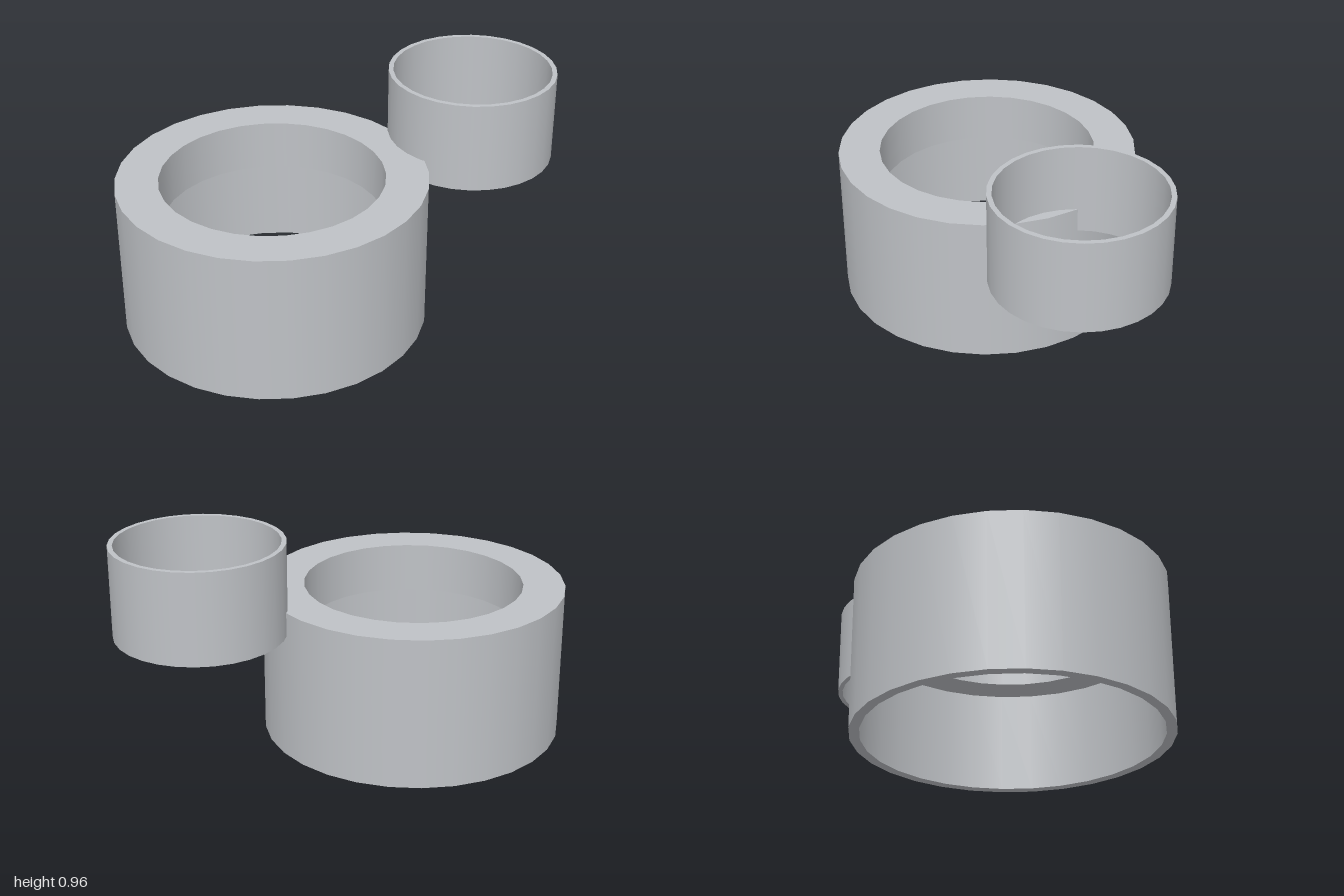
import * as THREE from 'three';
import { mergeGeometries } from 'three/addons/utils/BufferGeometryUtils.js';

const SIDES = 30;

// Turns a closed [radius, y] profile (counter-clockwise) into a solid ring.
// Each profile edge is its own band, so walls are smooth and rims stay sharp.
function ringGeometry(profile) {
  const bands = profile.map((p, i) => {
    const q = profile[(i + 1) % profile.length];
    const edge = [new THREE.Vector2(...p), new THREE.Vector2(...q)];
    return new THREE.LatheGeometry(edge, SIDES, Math.PI / 2);
  });
  return mergeGeometries(bands);
}

export function createModel() {
  const group = new THREE.Group();
  const grey = new THREE.MeshStandardMaterial({ color: 0xbfc2c6 });
  grey.name = 'light grey';

  const addRing = (name, x, profile) => {
    const mesh = new THREE.Mesh(ringGeometry(profile), grey);
    mesh.name = name;
    mesh.position.x = x;
    group.add(mesh);
  };

  // Large collar: narrow bore on top, wider socket below the inner ledge
  addRing('largeCollar', -0.335, [
    [0.665, 0], [0.665, 0.667], [0.482, 0.667],
    [0.482, 0.445], [0.622, 0.445], [0.622, 0],
  ]);

  // Small thin-walled tube, cutting into the collar's upper edge
  addRing('smallTube', 0.631, [
    [0.369, 0.562], [0.369, 0.964], [0.348, 0.964], [0.348, 0.562],
  ]);

  return group;
}
